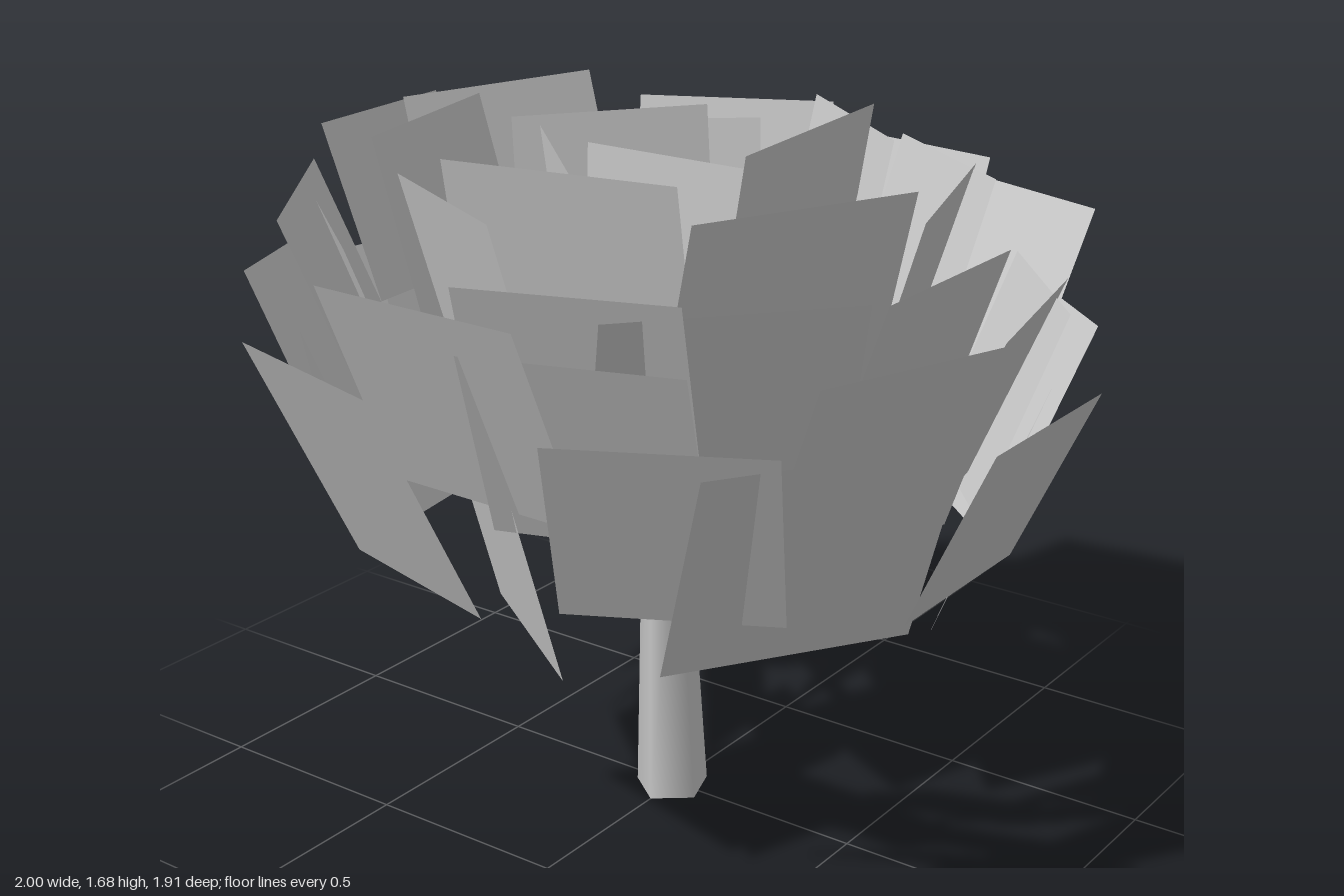
import * as THREE from 'three';

const grey = new THREE.MeshStandardMaterial({ color: 0xc8c8c8, side: THREE.DoubleSide });
grey.name = 'plain grey';

// Each leaf card: x1, z1, x2, z2 of its top edge, the height of that edge,
// and the card's length where it is not square
const outerLeaves = [
  [-0.22, 0.95, 0.25, 0.95, 1.14],
  [1.0, -0.15, 0.92, 0.37, 1.23],
  [0.86, -0.39, 0.93, 0.13, 1.41],
  [-0.88, -0.48, -1.0, -0.02, 1.28, 0.6],
  [-0.9, -0.24, -0.91, 0.28, 1.45],
  [-0.13, -0.96, 0.33, -0.91, 1.22, 0.54],
  [0.18, -0.94, 0.68, -0.66, 1.42],
  [-0.6, -0.76, -0.2, -0.91, 1.32, 0.5],
  [0.81, -0.5, 0.41, -0.86, 1.21],
  [0.92, 0.21, 0.77, 0.66, 1.39],
  [0.53, 0.8, 0.88, 0.4, 1.19, 0.57],
  [-0.73, 0.59, -0.25, 0.9, 1.165],
  [-0.84, 0.28, -0.62, 0.7, 1.2],
  [-0.87, 0.1, -0.72, 0.55, 1.36],
  [-0.55, 0.74, -0.08, 0.91, 1.33],
  [-0.09, 0.89, 0.4, 0.78, 1.33],
  [0.28, 0.85, 0.66, 0.52, 1.29],
];
const middleLeaves = [
  [-0.72, -0.52, -0.27, -0.85, 1.5],
  [-0.31, -0.78, 0.12, -0.81, 1.6],
  [-0.02, -0.79, 0.5, -0.63, 1.61],
  [-0.15, -0.84, 0.35, -0.82, 1.38],
  [0.36, -0.72, 0.72, -0.35, 1.46],
  [0.54, -0.43, 0.76, -0.03, 1.52],
  [0.75, -0.12, 0.67, 0.43, 1.5],
  [0.69, 0.18, 0.42, 0.58, 1.52],
  [-0.8, -0.25, -0.55, -0.57, 1.5],
  [-0.8, 0.03, -0.64, 0.48, 1.47],
  [-0.72, 0.34, -0.3, 0.7, 1.43],
  [-0.58, 0.46, -0.1, 0.68, 1.615],
  [-0.3, 0.74, 0.2, 0.74, 1.435],
  [-0.03, 0.66, 0.49, 0.49, 1.53],
];
const innerLeaves = [
  [-0.44, -0.5, 0.05, -0.61, 1.63],
  [0.0, -0.47, 0.38, -0.18, 1.6],
  [-0.42, 0.05, -0.03, -0.36, 1.6],
  [0.07, -0.3, 0.07, 0.26, 1.55],
  [-0.52, -0.23, -0.42, 0.31, 1.635],
  [-0.28, 0.38, 0.3, 0.33, 1.68],
  [0.24, 0.42, 0.55, 0.02, 1.62],
  [-0.68, 0.03, -0.47, -0.4, 1.57],
  [0.45, -0.43, 0.66, 0.0, 1.58],
  [0.22, -0.5, 0.52, -0.12, 1.55],
];
const lowLeaves = [
  [0.62, -0.13, 0.3, -0.52, 1.0],
  [0.07, 0.54, 0.46, 0.2, 1.05],
  [-0.72, 0.09, -0.45, -0.31, 1.04],
  [0.92, -0.02, 0.79, -0.47, 1.09, 0.45],
  [0.03, 0.87, 0.48, 0.72, 1.04],
  [-0.35, -0.75, 0.12, -0.82, 1.09],
  [-0.8, -0.35, -0.5, -0.7, 1.17],
];

// Flat card hanging from its top edge, its foot leaning in towards the trunk
function leaf([x1, z1, x2, z2, top, length]) {
  const mx = (x1 + x2) / 2, mz = (z1 + z2) / 2;
  const width = Math.hypot(x2 - x1, z2 - z1);
  const drop = length ?? Math.min(width, 0.56);
  let nx = (z2 - z1) / width, nz = (x1 - x2) / width;
  if (nx * mx + nz * mz < 0) { nx = -nx; nz = -nz; }
  const reach = nx * mx + nz * mz;
  const geometry = new THREE.PlaneGeometry(width, drop);
  geometry.translate(0, -drop / 2, 0);
  geometry.rotateX(THREE.MathUtils.degToRad(26 * reach));
  geometry.rotateY(Math.atan2(nx, nz));
  const mesh = new THREE.Mesh(geometry, grey);
  mesh.position.set(mx, top, mz);
  mesh.name = 'leaf';
  return mesh;
}

// Open, tapered five-sided limb between two points
function limb(name, from, to, r1, r2) {
  const a = new THREE.Vector3(...from), b = new THREE.Vector3(...to);
  const dir = b.clone().sub(a);
  const geometry = new THREE.CylinderGeometry(r2, r1, dir.length(), 5, 1, true);
  geometry.rotateY(-Math.PI / 2);
  const mesh = new THREE.Mesh(geometry, grey);
  mesh.position.copy(a).add(b).multiplyScalar(0.5);
  mesh.quaternion.setFromUnitVectors(new THREE.Vector3(0, 1, 0), dir.normalize());
  mesh.name = name;
  return mesh;
}

export function createModel() {
  const model = new THREE.Group();
  model.name = 'tree';

  // Trunk and the four branches spreading inside the crown
  model.add(limb('trunk', [-0.01, 0, 0], [-0.04, 0.77, 0], 0.09, 0.055));
  const ends = [[0.57, 0.9, 0.08], [0.05, 0.9, 0.54], [-0.4, 0.92, -0.44], [0.17, 0.92, -0.58]];
  for (const end of ends) model.add(limb('branch', [-0.04, 0.74, 0], end, 0.03, 0.01));

  // Crown, as rings of leaf cards
  const rings = { outerLeaves, middleLeaves, innerLeaves, lowLeaves };
  for (const [name, cards] of Object.entries(rings)) {
    const ring = new THREE.Group();
    ring.name = name;
    cards.forEach((card) => ring.add(leaf(card)));
    model.add(ring);
  }
  return model;
}
